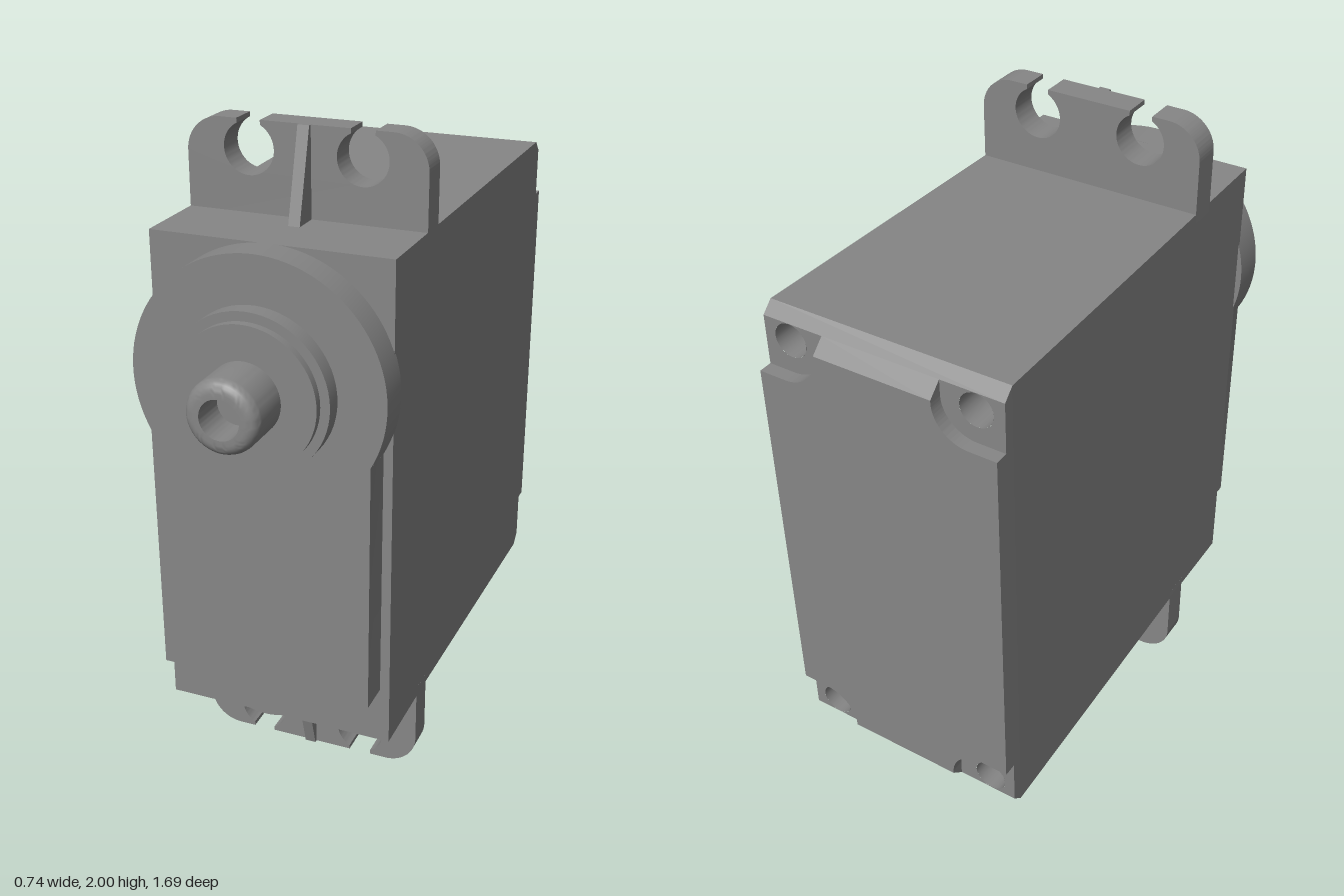
import * as THREE from 'three';
import { toCreasedNormals } from 'three/addons/utils/BufferGeometryUtils.js';

const material = new THREE.MeshStandardMaterial({ color: 0x868686 });
const twoSided = new THREE.MeshStandardMaterial({ color: 0x868686, side: THREE.DoubleSide });

function part(name, geometry, mat = material) {
  const mesh = new THREE.Mesh(geometry, mat);
  mesh.name = name;
  return mesh;
}

function extrude(shape, z, depth) {
  const g = new THREE.ExtrudeGeometry(shape, { depth, bevelEnabled: false, curveSegments: 32 });
  return g.translate(0, 0, z);
}

// Screw positions at the back corners
const SCREW_X = 0.283, SCREW_Y = 0.333, SCREW_R = 0.05;
const FLOOR_Z = -0.805, FLOOR_Y = 0.282;
const corners = [[1, 1], [-1, 1], [-1, -1], [1, -1]]
  .map(([sx, sy]) => [sx * SCREW_X, 1 + sy * (1 - SCREW_Y)]);

// Tapered case: rectangles [z, half width, bottom y] joined front to back
function caseGeometry() {
  const rings = [[0.525, 0.352, 0.26], [0.195, 0.353, 0.26], [-0.772, 0.365, 0.25], [FLOOR_Z, 0.365, FLOOR_Y]]
    .map(([z, w, y]) => [[-w, y, z], [w, y, z], [w, 2 - y, z], [-w, 2 - y, z]]);
  const f = rings[0];
  const tris = [f[0], f[1], f[2], f[0], f[2], f[3]];
  for (let r = 0; r < 3; r++) {
    for (let i = 0; i < 4; i++) {
      const j = (i + 1) % 4;
      const a = rings[r][i], b = rings[r][j], c = rings[r + 1][j], d = rings[r + 1][i];
      tris.push(a, d, c, a, c, b);
    }
  }
  const g = new THREE.BufferGeometry();
  g.setAttribute('position', new THREE.Float32BufferAttribute(tris.flat(), 3));
  g.computeVertexNormals();
  return g;
}

// Floor of the corner pockets, pierced by the screw holes
function pocketFloorGeometry() {
  const w = 0.365, y = FLOOR_Y;
  const s = new THREE.Shape();
  s.moveTo(-w, y).lineTo(w, y).lineTo(w, 2 - y).lineTo(-w, 2 - y);
  for (const [cx, cy] of corners) {
    s.holes.push(new THREE.Path().absarc(cx, cy, SCREW_R, 0, Math.PI * 2, true));
  }
  return new THREE.ShapeGeometry(s, 24).rotateY(Math.PI).translate(0, 0, FLOOR_Z);
}

// Raised back panel with a rounded pocket cut from each corner
function backPanelGeometry() {
  const w = 0.365, y0 = 0.32, cy = 0.326, r = 0.105, P = Math.PI;
  const s = new THREE.Shape();
  s.moveTo(-SCREW_X + r, y0).lineTo(SCREW_X - r, y0);
  s.absarc(SCREW_X, cy, r, P, P / 2, true).lineTo(w, cy + r);
  s.lineTo(w, 2 - cy - r).absarc(SCREW_X, 2 - cy, r, -P / 2, -P, true);
  s.lineTo(SCREW_X - r, 2 - y0).lineTo(-SCREW_X + r, 2 - y0);
  s.absarc(-SCREW_X, 2 - cy, r, 0, -P / 2, true).lineTo(-w, 2 - cy - r);
  s.lineTo(-w, cy + r).absarc(-SCREW_X, cy, r, P / 2, 0, true);
  const g = extrude(s, FLOOR_Z - 0.04, 0.04);
  // Slope the top and bottom edges to follow the case chamfer
  const p = g.attributes.position;
  for (let i = 0; i < p.count; i++) {
    const y = p.getY(i);
    if (p.getZ(i) > FLOOR_Z - 0.01 && Math.abs(y - 1) > 0.677) p.setY(i, y < 1 ? FLOOR_Y : 2 - FLOOR_Y);
  }
  return toCreasedNormals(g, 0.5);
}

// Front cover: round gear housing, straight sides, small bulge at the foot
function coverGeometry() {
  const P = Math.PI, a = 0.4987, b = 0.437;
  const s = new THREE.Shape();
  s.moveTo(0.323, 0.436).lineTo(0.325, 1.194);
  s.absarc(0, 1.371, 0.37, -a, P + a, false);
  s.lineTo(-0.323, 0.436).lineTo(-0.165, 0.436);
  s.absarc(0, 0.513, 0.182, P + b, 2 * P - b, false);
  return toCreasedNormals(extrude(s, 0.518, 0.104), 0.5);
}

// Stepped collar and hollow output shaft, turned about z
function shaftGeometry() {
  const profile = [[0.232, 0.61], [0.232, 0.673], [0.205, 0.673], [0.205, 0.697], [0.105, 0.697], [0.105, 0.812]];
  for (let i = 1; i <= 6; i++) {
    const t = i / 6 * Math.PI / 2;
    profile.push([0.072 + 0.033 * Math.cos(t), 0.812 + 0.033 * Math.sin(t)]);
  }
  profile.push([0.057, 0.845], [0.057, 0.74], [0, 0.74]);
  const g = new THREE.LatheGeometry(profile.map(([r, y]) => new THREE.Vector2(r, y)), 64);
  return toCreasedNormals(g.rotateX(Math.PI / 2), 0.6);
}

// Mounting ear with two open screw slots and a stiffening rib
function mountingEar(name) {
  const P = Math.PI, w = 0.353, r = 0.1, hx = 0.167, hy = 0.08, hr = 0.075, slot = 0.035;
  const t = Math.asin(slot / hr);
  const s = new THREE.Shape();
  s.moveTo(-w, 0.29).lineTo(-w, r).absarc(-w + r, r, r, P, 1.5 * P, false);
  for (const x of [-hx, hx]) {
    s.lineTo(x - slot, 0);
    s.absarc(x, hy, hr, -P / 2 - t, -P / 2 + t - 2 * P, true);
    s.lineTo(x + slot, 0);
  }
  s.lineTo(w - r, 0).absarc(w - r, r, r, -P / 2, 0, false).lineTo(w, 0.29);
  const rib = new THREE.Shape();
  rib.moveTo(0.265, 0).lineTo(0.291, 0).lineTo(0.362, 0.26).lineTo(0.362, 0.28).lineTo(0.265, 0.28);
  const ear = new THREE.Group();
  ear.name = name;
  ear.add(
    part('earPlate', toCreasedNormals(extrude(s, 0.195, 0.086), 0.5)),
    part('earRib', extrude(rib, -0.017, 0.034).rotateY(-P / 2)),
  );
  return ear;
}

export function createModel() {
  const model = new THREE.Group();
  model.name = 'servoMotor';
  model.add(
    part('case', caseGeometry()),
    part('pocketFloor', pocketFloorGeometry()),
    part('backPanel', backPanelGeometry()),
    part('frontCover', coverGeometry()),
  );

  const shaft = part('outputShaft', shaftGeometry());
  shaft.position.y = 1.371;
  model.add(shaft);

  // Blind screw holes
  for (const [x, y] of corners) {
    const wall = new THREE.CylinderGeometry(SCREW_R, SCREW_R, 0.15, 24, 1, true).rotateX(Math.PI / 2);
    const hole = part('screwHole', wall, twoSided);
    hole.position.set(x, y, FLOOR_Z + 0.075);
    const end = part('screwHoleEnd', new THREE.CircleGeometry(SCREW_R, 24).rotateY(Math.PI));
    end.position.set(x, y, FLOOR_Z + 0.15);
    model.add(hole, end);
  }

  const lowerEar = mountingEar('lowerEar');
  const upperEar = mountingEar('upperEar');
  upperEar.rotation.z = Math.PI;
  upperEar.position.y = 2;
  model.add(lowerEar, upperEar);
  return model;
}
